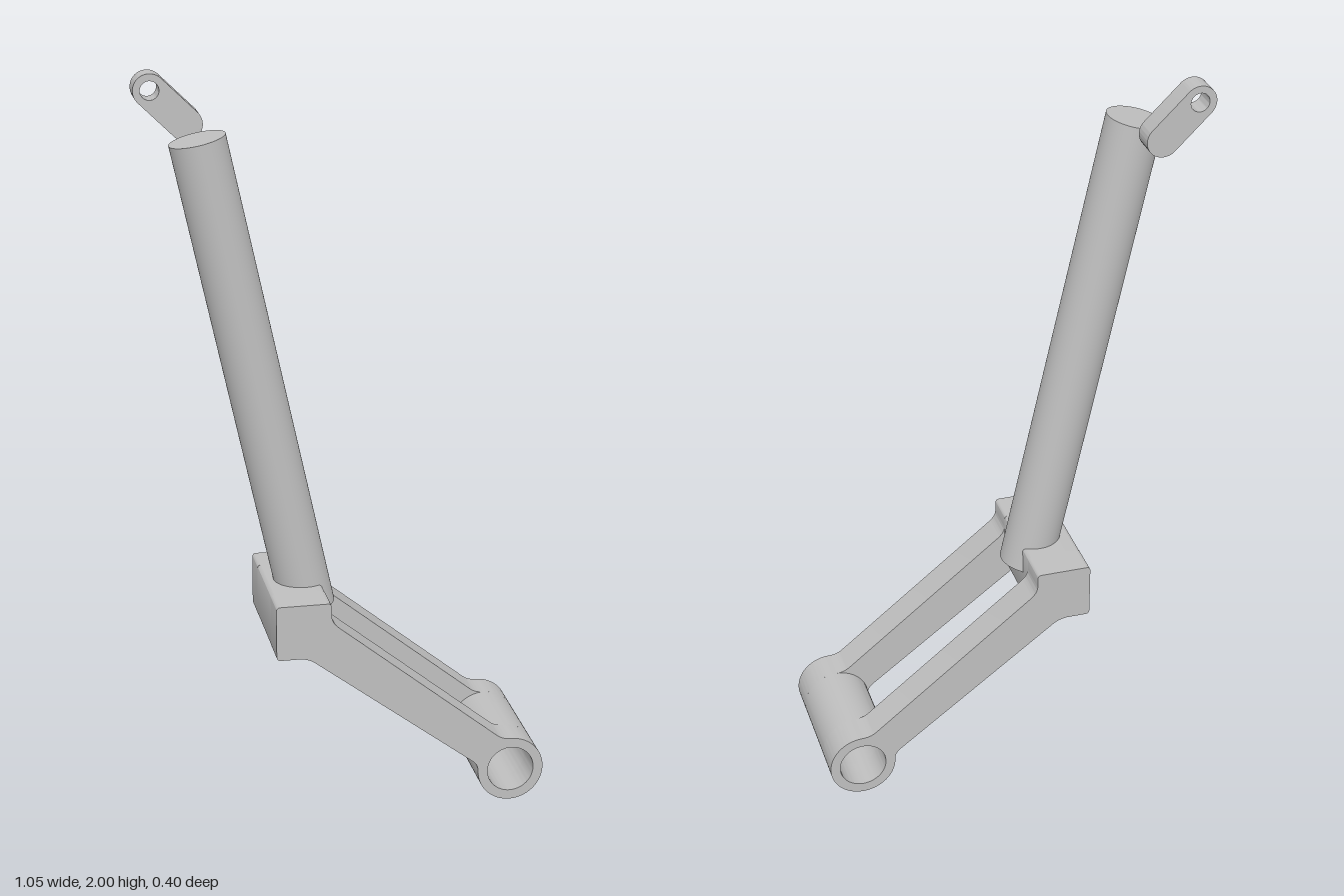
import * as THREE from 'three';
import { toCreasedNormals } from 'three/addons/utils/BufferGeometryUtils.js';

const grey = new THREE.MeshStandardMaterial({ color: 0xbfbfbf });
grey.name = 'grey';

const PIVOT = [0.432, 0.092], OUTER = 0.092, BORE = 0.065;

// Extrudes an outline between two depths, keeping curved walls smooth
function plate(name, shape, z0, z1) {
  const raw = new THREE.ExtrudeGeometry(shape, { depth: z1 - z0, bevelEnabled: false, curveSegments: 32 });
  const mesh = new THREE.Mesh(toCreasedNormals(raw, 0.5), grey);
  mesh.name = name;
  mesh.position.z = z0;
  return mesh;
}

function addHole(shape, [x, y], r) {
  shape.holes.push(new THREE.Path().absarc(x, y, r, 0, Math.PI * 2, true));
  return shape;
}

// Side profile: clamp block, sloping arm and pivot eye in one outline
function armShape() {
  const s = new THREE.Shape();
  s.moveTo(-0.208, 0.473);
  s.lineTo(-0.16, 0.473);
  s.quadraticCurveTo(-0.135, 0.473, -0.115, 0.458);
  s.lineTo(0.325, 0.124);
  s.quadraticCurveTo(0.341, 0.111, 0.34, 0.092);
  s.absarc(...PIVOT, OUTER, Math.PI, Math.PI * 2.5, false);
  s.quadraticCurveTo(0.408, 0.184, 0.392, 0.197);
  s.lineTo(-0.05, 0.555);
  s.quadraticCurveTo(-0.07, 0.572, -0.07, 0.59);
  s.lineTo(-0.07, 0.615);
  s.quadraticCurveTo(-0.07, 0.627, -0.082, 0.627);
  s.lineTo(-0.208, 0.627);
  s.quadraticCurveTo(-0.22, 0.627, -0.22, 0.615);
  s.lineTo(-0.22, 0.485);
  s.quadraticCurveTo(-0.22, 0.473, -0.208, 0.473);
  return addHole(s, PIVOT, BORE);
}

// Rounded block section joining the arms behind the rod
function blockShape() {
  const [x0, x1, y0, y1, r] = [-0.22, -0.07, 0.473, 0.627, 0.012];
  const s = new THREE.Shape();
  s.absarc(x1 - r, y0 + r, r, -Math.PI / 2, 0);
  s.absarc(x1 - r, y1 - r, r, 0, Math.PI / 2);
  s.absarc(x0 + r, y1 - r, r, Math.PI / 2, Math.PI);
  s.absarc(x0 + r, y0 + r, r, Math.PI, Math.PI * 1.5);
  s.closePath();
  return s;
}

export function createModel() {
  const model = new THREE.Group();
  model.name = 'leverAssembly';

  // Fork: two arms, joined by the block and the pivot tube
  model.add(plate('frontArm', armShape(), 0.11, 0.2));
  model.add(plate('rearArm', armShape(), -0.2, -0.11));
  model.add(plate('crossBlock', blockShape(), -0.11, 0.11));
  const ring = new THREE.Shape().absarc(...PIVOT, OUTER, 0, Math.PI * 2, false);
  model.add(plate('pivotTube', addHole(ring, PIVOT, BORE), -0.11, 0.11));

  // Leaning rod
  const bottom = new THREE.Vector3(-0.1, 0.547, 0);
  const top = new THREE.Vector3(-0.38, 1.851, 0);
  const axis = top.clone().sub(bottom);
  const rod = new THREE.Mesh(new THREE.CylinderGeometry(0.075, 0.075, axis.length(), 64), grey);
  rod.name = 'rod';
  rod.position.copy(bottom).add(top).multiplyScalar(0.5);
  rod.quaternion.setFromUnitVectors(new THREE.Vector3(0, 1, 0), axis.normalize());
  model.add(rod);

  // Separate round-ended link with an eye at its upper end
  const link = new THREE.Shape();
  link.absarc(-0.484, 1.956, 0.044, Math.PI / 4, Math.PI * 1.25, false);
  link.absarc(-0.391, 1.864, 0.044, Math.PI * 1.25, Math.PI * 2.25, false);
  link.closePath();
  model.add(plate('link', addHole(link, [-0.484, 1.956], 0.025), -0.185, -0.123));

  return model;
}
